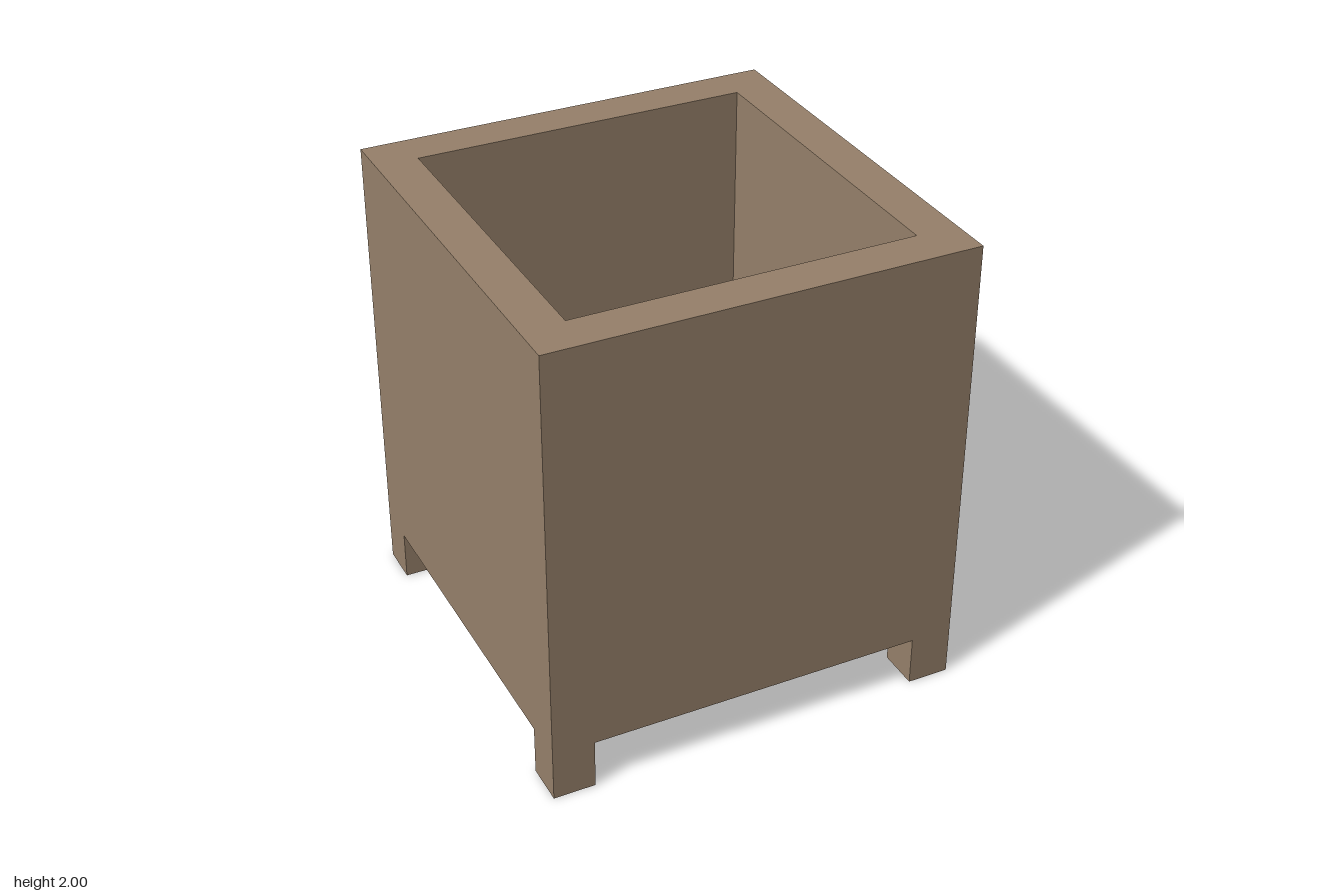
import * as THREE from 'three';

const HALF = 0.893;      // outer half width
const WALL = 0.178;      // wall and leg thickness
const INNER = HALF - WALL;
const BASE = 0.215;      // underside of the box
const TOP = 2;

function square(path, h) {
  path.moveTo(-h, -h);
  path.lineTo(h, -h);
  path.lineTo(h, h);
  path.lineTo(-h, h);
  path.closePath();
  return path;
}

export function createModel() {
  const group = new THREE.Group();
  group.name = 'squarePlanter';
  const wood = new THREE.MeshStandardMaterial({ color: 0x96806a });
  wood.name = 'brown';

  const add = (name, geometry, x, y, z) => {
    const mesh = new THREE.Mesh(geometry, wood);
    mesh.name = name;
    mesh.position.set(x, y, z);
    group.add(mesh);
  };

  // Four walls as one hollow square, open at the top
  const ring = square(new THREE.Shape(), HALF);
  ring.holes.push(square(new THREE.Path(), INNER));
  const walls = new THREE.ExtrudeGeometry(ring, { depth: TOP - BASE, bevelEnabled: false });
  walls.rotateX(-Math.PI / 2);
  add('walls', walls, 0, BASE, 0);

  // Floor between the walls
  add('floor', new THREE.BoxGeometry(INNER * 2, WALL, INNER * 2), 0, BASE + WALL / 2, 0);

  // Corner legs
  const leg = new THREE.BoxGeometry(WALL, BASE, WALL);
  const c = HALF - WALL / 2;
  for (const [end, z] of [['front', c], ['back', -c]]) {
    for (const [side, x] of [['Left', c], ['Right', -c]]) {
      add(`${end}${side}Leg`, leg, x, BASE / 2, z);
    }
  }
  return group;
}
